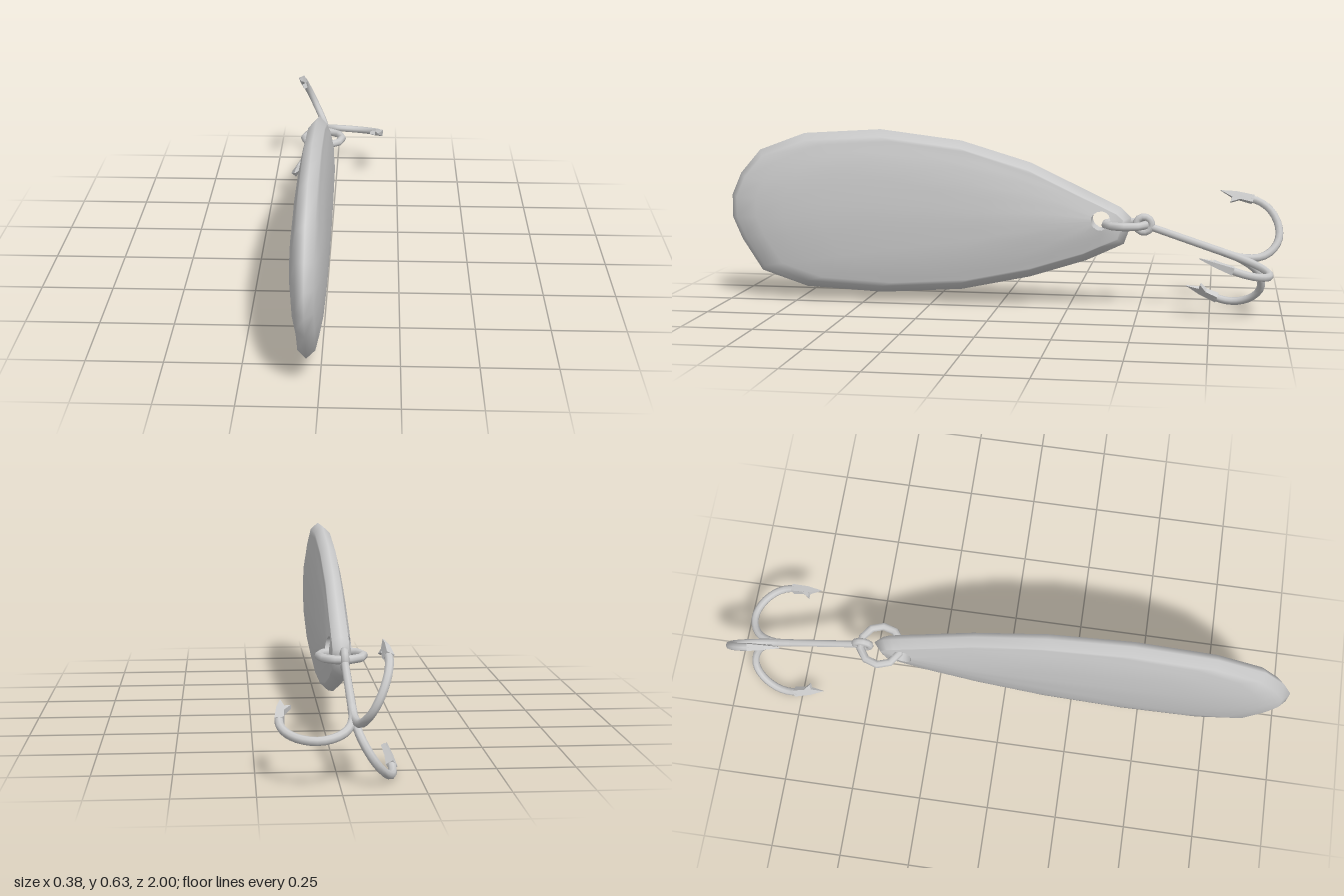
import * as THREE from 'three';

const metal = new THREE.MeshStandardMaterial({ color: 0xcccccc, metalness: 0, roughness: 0.6, side: THREE.DoubleSide });

function part(name, geometry, parent) {
  const mesh = new THREE.Mesh(geometry, metal);
  mesh.name = name;
  parent.add(mesh);
  return mesh;
}

// Blade outline as (z, y), from the nose over the top to the tail and back below
const OUTLINE = [
  [1, 0.4], [0.965, 0.48], [0.89, 0.567], [0.72, 0.63], [0.436, 0.647], [0.14, 0.61], [-0.11, 0.535],
  [-0.31, 0.44], [-0.375, 0.409], [-0.405, 0.394], [-0.435, 0.38], [-0.47, 0.345], [-0.465, 0.305],
  [-0.445, 0.25], [-0.375, 0.217], [-0.31, 0.187], [-0.11, 0.123], [0.14, 0.07], [0.436, 0.05],
  [0.72, 0.064], [0.89, 0.12], [0.965, 0.235], [1, 0.315],
].map(([z, y]) => new THREE.Vector2(z, y));
const HOLE = new THREE.Vector2(-0.365, 0.335);
const N = OUTLINE.length;

// Inward normal of the outline edge that starts at point i
function edgeNormal(i) {
  const e = OUTLINE[(i + 1) % N].clone().sub(OUTLINE[(i + N) % N]).normalize();
  return new THREE.Vector2(-e.y, e.x);
}

// Half thickness of the blade grows with the distance from its rim
function halfThickness(p) {
  let d = Infinity;
  for (let i = 0; i < N; i++) {
    d = Math.min(d, p.clone().sub(OUTLINE[i]).dot(edgeNormal(i)));
  }
  const steps = [[0, 0], [0.025, 0.028], [0.08, 0.042], [0.15, 0.053], [0.31, 0.061]];
  for (let k = 1; k < steps.length; k++) {
    const [d0, h0] = steps[k - 1], [d1, h1] = steps[k];
    if (d <= d1) return h0 + (h1 - h0) * Math.max(0, (d - d0) / (d1 - d0));
  }
  return 0.061;
}

// Blade: loops run from the hole, out over one side, round the rim and back
function bladeGeometry() {
  const inset = OUTLINE.map((p, i) => {
    const n = edgeNormal(i).add(edgeNormal((i + N - 1) % N)).normalize();
    return p.clone().addScaledVector(n, 0.026);
  });
  const holeEdge = OUTLINE.map((p) => p.clone().sub(HOLE).setLength(0.034).add(HOLE));
  const rings = [1, 0.85, 0.7, 0.55, 0.4, 0.25, 0.14, 0.06, 0].map((t) =>
    inset.map((p, i) => p.clone().lerp(holeEdge[i], t)));
  const loops = [
    [holeEdge, -1], [holeEdge, 1],
    ...rings.map((r) => [r, 1]), [OUTLINE, 0], ...rings.slice().reverse().map((r) => [r, -1]),
  ];
  const pos = [], index = [];
  loops.forEach(([loop, side], j) => {
    loop.forEach((p, i) => {
      pos.push(side * halfThickness(p), p.y, p.x);
      if (j === 0 || j === 2) return; // loop 2 repeats loop 1 for a sharp hole edge
      const k = (i + 1) % N;
      const a = j * N + i, b = j * N + k, c = (j - 1) * N + k, d = (j - 1) * N + i;
      index.push(a, c, b, a, d, c);
    });
  });
  const g = new THREE.BufferGeometry();
  g.setAttribute('position', new THREE.Float32BufferAttribute(pos, 3));
  g.setIndex(index);
  g.computeVertexNormals();
  return g;
}

// Barbed point, drawn flat and thinned towards its tip
function pointGeometry() {
  const tip = 0.215;
  const shape = new THREE.Shape([
    [0.215, tip], [0.229, 0.27], [0.236, 0.335], [0.208, 0.335], [0.205, 0.29], [0.184, 0.262], [0.204, 0.262],
  ].map(([r, a]) => new THREE.Vector2(r, a)));
  const g = new THREE.ExtrudeGeometry(shape, { depth: 1, bevelEnabled: false });
  const p = g.attributes.position;
  for (let i = 0; i < p.count; i++) {
    const w = 0.004 + 0.022 * Math.min(1, (p.getY(i) - tip) / 0.1);
    p.setZ(i, (p.getZ(i) - 0.5) * w);
  }
  g.computeVertexNormals();
  return g;
}

export function createModel() {
  const model = new THREE.Group();
  model.name = 'fishingSpoon';

  part('blade', bladeGeometry(), model).position.x = -0.04;

  // Ring linking the blade to the hook
  const link = part('linkRing', new THREE.TorusGeometry(0.073, 0.0145, 8, 10), model);
  link.rotation.x = Math.PI / 2;
  link.position.set(-0.04, 0.32, -0.45);

  // Treble hook: local +y runs along the shank, away from the blade
  const hook = new THREE.Group();
  hook.name = 'trebleHook';
  hook.position.set(-0.045, 0.32, -0.515);
  hook.rotation.x = Math.atan2(-0.95, -0.313);
  model.add(hook);

  part('hookEye', new THREE.TorusGeometry(0.027, 0.0135, 8, 12), hook).rotation.y = Math.PI / 2;
  part('shank', new THREE.CylinderGeometry(0.014, 0.013, 0.32, 8), hook).position.y = 0.19;

  const bend = new THREE.CatmullRomCurve3([
    [0, 0.29], [0.004, 0.36], [0.03, 0.425], [0.07, 0.455], [0.115, 0.463],
    [0.165, 0.445], [0.205, 0.405], [0.222, 0.36], [0.222, 0.325],
  ].map(([r, a]) => new THREE.Vector3(r, a, 0)));
  const bendGeometry = new THREE.TubeGeometry(bend, 20, 0.0138, 8);
  const barbGeometry = pointGeometry();

  for (let i = 0; i < 3; i++) {
    const arm = new THREE.Group();
    arm.name = 'hookArm' + (i + 1);
    arm.rotation.y = THREE.MathUtils.degToRad(4 - 120 * i);
    part('bend', bendGeometry, arm);
    part('barbedPoint', barbGeometry, arm);
    hook.add(arm);
  }
  return model;
}
